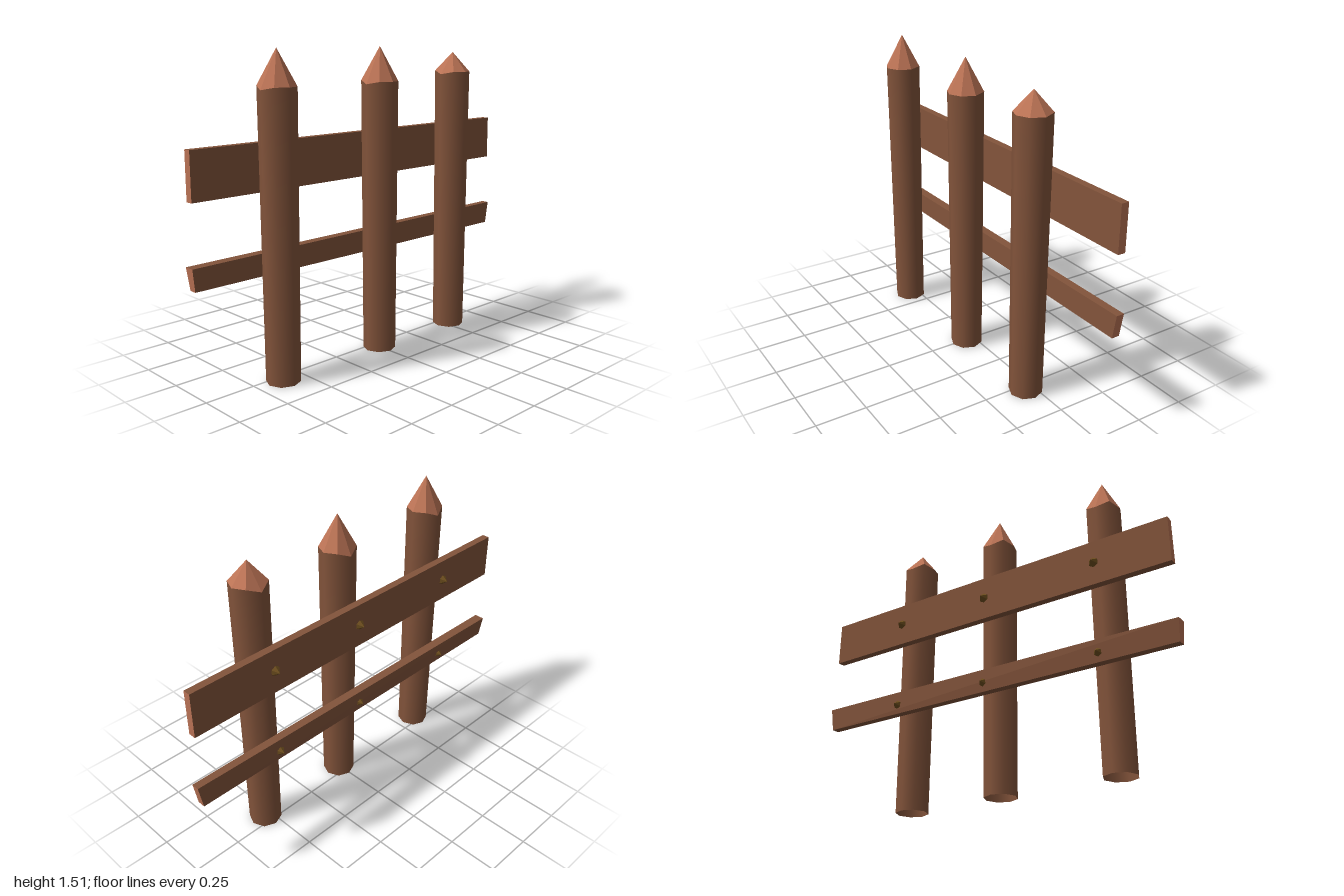
import * as THREE from 'three';

export function createModel() {
  const fence = new THREE.Group();
  fence.name = 'fence';
  const wood = new THREE.MeshStandardMaterial({ name: 'wood', color: 0x83543b, side: THREE.DoubleSide });
  const cutWood = new THREE.MeshStandardMaterial({ name: 'cutWood', color: 0xbb7355 });
  const nailMetal = new THREE.MeshStandardMaterial({ name: 'nailMetal', color: 0x70501f });

  const add = (parent, name, geometry, material) => {
    const mesh = new THREE.Mesh(geometry, material);
    mesh.name = name;
    parent.add(mesh);
    return mesh;
  };
  const flat = (geometry) => {
    const g = geometry.toNonIndexed();
    g.computeVertexNormals();
    return g;
  };

  // Uneven shoulder line where the bark meets the sharpened tip, one value per side
  const notch = [0, 0, 0, 0.005, -0.02, 0.005, -0.012, 0];
  const sides = notch.length;
  const shapeShoulder = (geometry, y) => {
    const p = geometry.attributes.position;
    for (let i = 0; i < p.count; i++) {
      if (Math.abs(p.getY(i) - y) > 1e-4) continue;
      const side = Math.round(Math.atan2(p.getX(i), p.getZ(i)) / (Math.PI * 2) * sides);
      p.setY(i, y + notch[(side + sides) % sides]);
    }
    return geometry;
  };

  // Sharpened posts: x, shoulder height, tip height
  const posts = [[-0.613, 1.345, 1.51], [0.003, 1.345, 1.51], [0.532, 1.375, 1.475]];
  for (const [x, shoulder, tip] of posts) {
    const post = new THREE.Group();
    post.name = 'post';
    post.position.set(x, 0, 0.045);
    fence.add(post);
    const shaft = new THREE.CylinderGeometry(0.089, 0.081, shoulder, sides, 1, true);
    shaft.translate(0, shoulder / 2, 0);
    add(post, 'postShaft', shapeShoulder(shaft, shoulder), wood);
    const cone = new THREE.ConeGeometry(0.089, tip - shoulder, sides, 1, true);
    cone.translate(0, (tip + shoulder) / 2, 0);
    add(post, 'postTip', flat(shapeShoulder(cone, shoulder)), cutWood);
  }

  // Rails: boxes with corners shifted by a rule, sawn ends in the lighter wood
  const rail = (name, adjust) => {
    const g = new THREE.BoxGeometry(2, 2, 2);
    const p = g.attributes.position;
    for (let i = 0; i < p.count; i++) {
      p.setXYZ(i, ...adjust(p.getX(i), p.getY(i), p.getZ(i)));
    }
    add(fence, name, flat(g), [cutWood, cutWood, wood, wood, wood, wood]);
    // toNonIndexed drops the material groups, so restore them
    const made = fence.children[fence.children.length - 1].geometry;
    made.clearGroups();
    for (let i = 0; i < 6; i++) made.addGroup(i * 6, 6, i);
  };
  rail('upperRail', (x, y, z) => [
    x > 0 ? 0.98 : -0.99,
    y > 0 ? 1.095 : 0.87,
    z > 0 ? -0.065 : -0.103,
  ]);
  rail('lowerRail', (x, y, z) => [
    y > 0 ? x : x > 0 ? 0.98 : -0.99,
    y > 0 ? (x > 0 ? 0.597 : 0.585) : 0.48,
    z > 0 ? -0.065 : y > 0 && x < 0 ? -0.117 : -0.104,
  ]);

  // Pointed nail heads on the back of each rail, behind every post
  for (const [x] of posts) {
    for (const y of [0.985, 0.528]) {
      const head = new THREE.ConeGeometry(0.028, 0.033, 6, 1, true).rotateX(-Math.PI / 2);
      add(fence, 'nail', flat(head), nailMetal).position.set(x, y, -0.1165);
    }
  }
  return fence;
}
